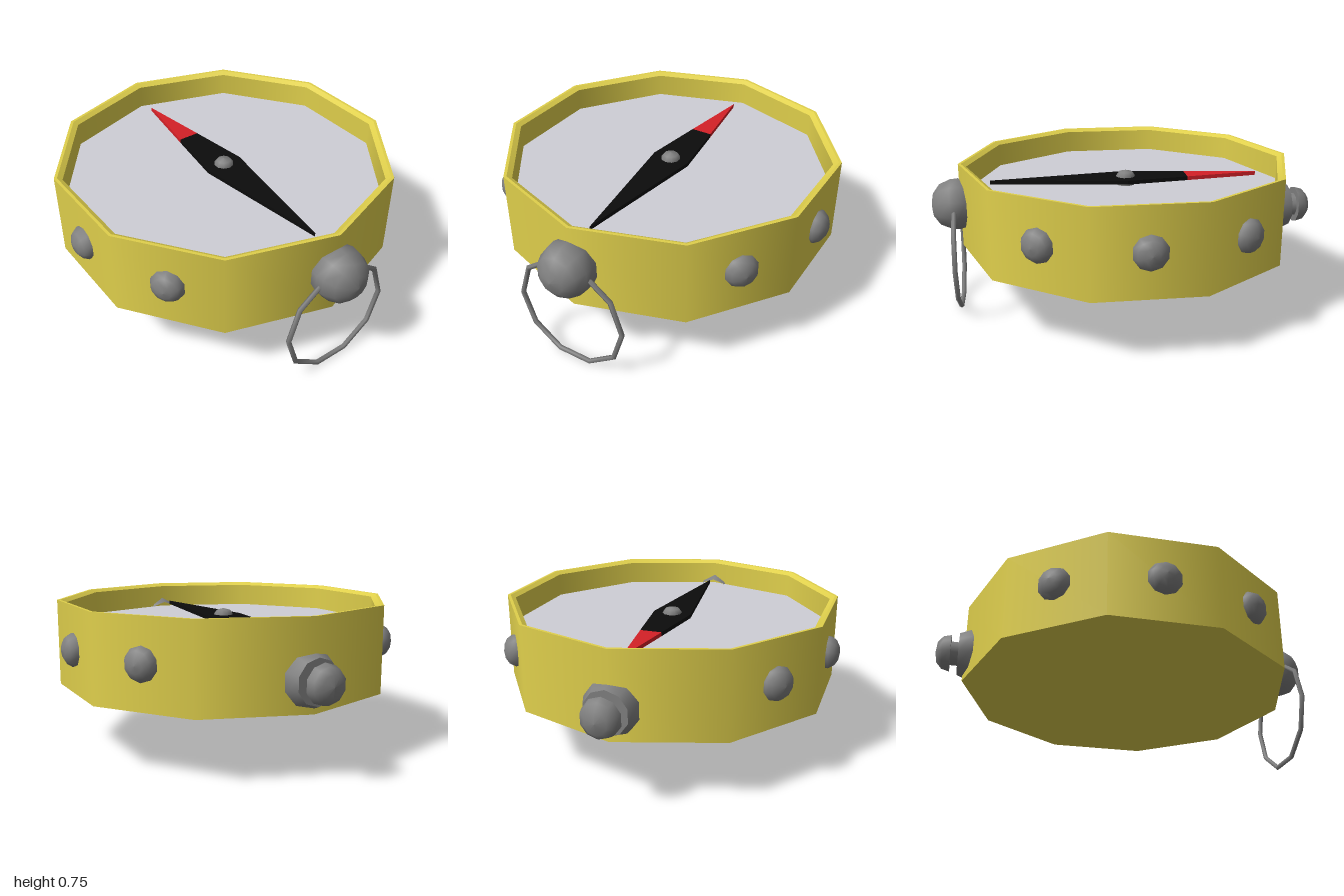
import * as THREE from 'three';

const SIDES = 10;
const mat = (color) => new THREE.MeshStandardMaterial({ color, side: THREE.DoubleSide });

export function createModel() {
  const model = new THREE.Group();
  const brass = mat(0xe0d04c), steel = mat(0x808080), dialGrey = mat(0xcfcfd6);
  const black = mat(0x0c0c0c), red = mat(0xd42027);

  const add = (name, geometry, material, parent = model) => {
    const mesh = new THREE.Mesh(geometry, material);
    mesh.name = name;
    parent.add(mesh);
    return mesh;
  };
  const lathe = (pts) => new THREE.LatheGeometry(pts.map(([r, y]) => new THREE.Vector2(r, y)), SIDES);

  // Ten-sided case: one band per face so the edges between them stay sharp
  const body = new THREE.Group();
  body.name = 'case';
  model.add(body);
  const profile = [[0, 0.32], [0.855, 0.32], [0.855, 0.755], [0.84, 0.755], [0.815, 0.74], [0.815, 0.61]];
  const bands = ['caseBottom', 'caseWall', 'rimTop', 'rimBevel', 'innerWall'];
  bands.forEach((name, i) => add(name, lathe([profile[i], profile[i + 1]]), brass, body));

  // Dial plate
  add('dial', lathe([[0.82, 0.62], [0, 0.62]]), dialGrey);

  // Needle, drawn in plan with north (-z) as shape +y
  const needle = new THREE.Group();
  needle.name = 'needle';
  model.add(needle);
  const plate = (name, pts, material) => {
    const shape = new THREE.Shape(pts.map(([x, y]) => new THREE.Vector2(x, y)));
    const geo = new THREE.ExtrudeGeometry(shape, { depth: 0.02, bevelEnabled: false });
    add(name, geo.rotateX(-Math.PI / 2).translate(0, 0.642, 0), material, needle);
  };
  plate('needleBody', [[0, -0.7], [0.1, 0], [0.055, 0.32], [-0.055, 0.32], [-0.1, 0]], black);
  plate('needleTip', [[-0.055, 0.32], [0.055, 0.32], [0, 0.7]], red);
  add('needlePin', lathe([[0.05, 0.62], [0.05, 0.665], [0.036, 0.685], [0, 0.695]]), steel);

  // Domed studs on the three middle faces of each side
  const dome = [[0.083, -0.02], [0.083, 0.012], [0.066, 0.038], [0.036, 0.055], [0, 0.06]];
  for (const side of [1, -1]) {
    for (const step of [-1, 0, 1]) {
      const angle = side * Math.PI / 2 + step * Math.PI / 5;
      const stud = add('stud', lathe(dome).rotateX(Math.PI / 2), steel);
      stud.position.set(Math.sin(angle) * 0.813, 0.54, Math.cos(angle) * 0.813);
      stud.rotation.y = angle;
    }
  }

  // Front knob with its hanging ring
  const knob = [[0.1, 0.78], [0.125, 0.82], [0.136, 0.86], [0.132, 0.9], [0.108, 0.955], [0.06, 0.99], [0, 1]];
  add('ringKnob', lathe(knob).rotateX(Math.PI / 2), steel).position.y = 0.545;
  add('hangingRing', new THREE.TorusGeometry(0.285, 0.013, 5, SIDES), steel).position.set(0, 0.285, 0.88);

  // Rear crown: collar, neck and cap
  const crown = new THREE.Group();
  crown.name = 'crown';
  crown.position.y = 0.47;
  model.add(crown);
  const crownPart = (name, pts) => add(name, lathe(pts).rotateX(-Math.PI / 2), steel, crown);
  crownPart('crownCollar', [[0.135, 0.78], [0.135, 0.825], [0.11, 0.885]]);
  crownPart('collarFace', [[0.11, 0.885], [0, 0.885]]);
  crownPart('crownNeck', [[0.062, 0.87], [0.062, 0.935]]);
  crownPart('capBack', [[0, 0.925], [0.096, 0.925]]);
  crownPart('crownCap', [[0.096, 0.925], [0.085, 0.965], [0.055, 0.992], [0, 1]]);

  return model;
}
